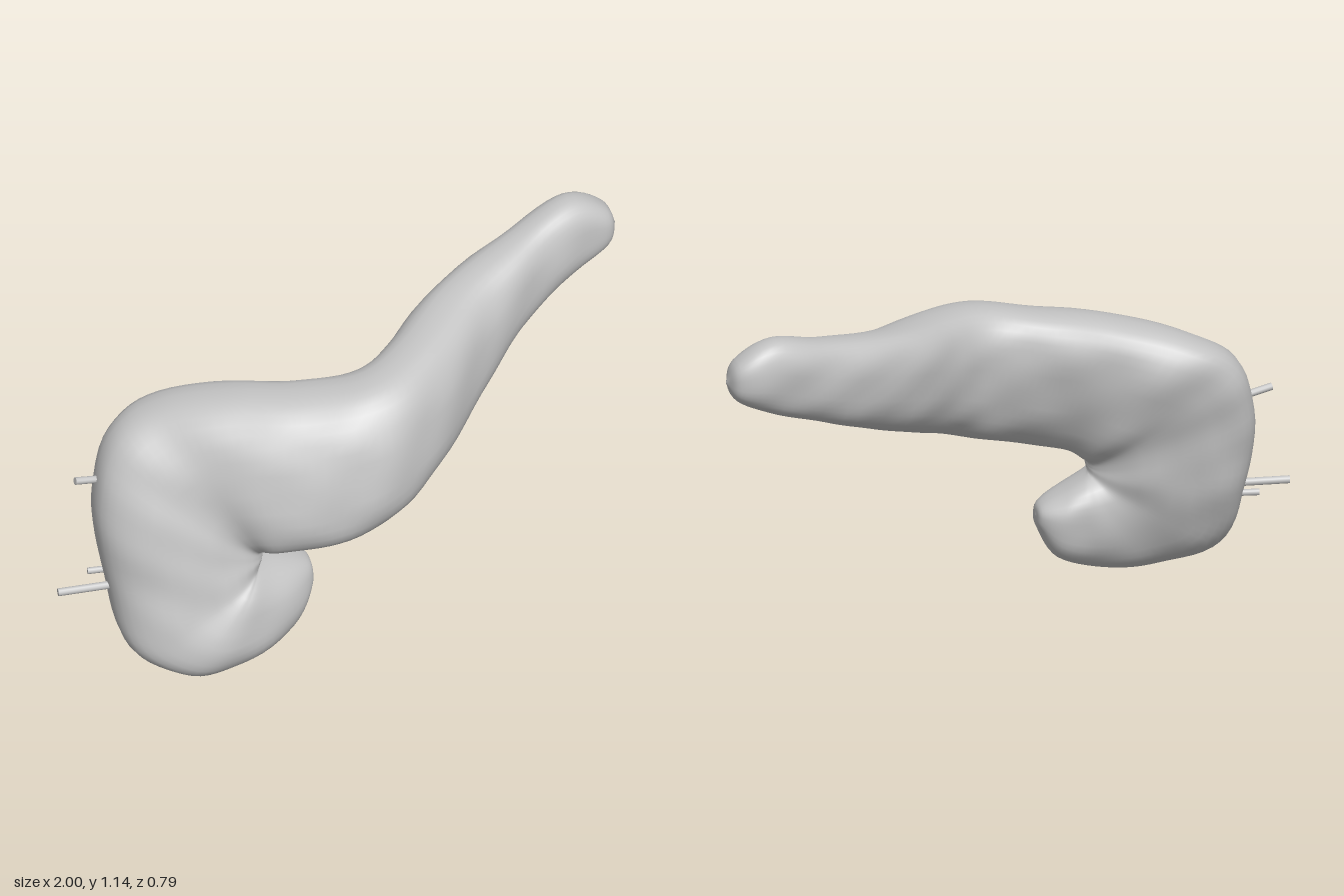
import * as THREE from 'three';

// Each rib runs from the inner edge to the outer edge of the curled organ:
// [inner x, y, z,  outer x, y, z,  half thickness]
const RIBS = [
  [-0.17, 0.24, 0.13, -0.17, 0.24, 0.13, 0], // hook tip
  [-0.185, 0.28, 0.125, -0.18, 0.19, 0.14, 0.06],
  [-0.27, 0.325, 0.13, -0.25, 0.085, 0.17, 0.125],
  [-0.335, 0.355, 0.145, -0.43, 0.017, 0.21, 0.165],
  [-0.35, 0.365, 0.15, -0.62, 0.01, 0.21, 0.165], // head
  [-0.35, 0.37, 0.155, -0.79, 0.09, 0.13, 0.16],
  [-0.35, 0.38, 0.16, -0.838, 0.3, 0.045, 0.165],
  [-0.35, 0.385, 0.16, -0.858, 0.55, -0.005, 0.16],
  [-0.35, 0.395, 0.165, -0.79, 0.765, -0.055, 0.155],
  [-0.34, 0.405, 0.18, -0.62, 0.87, -0.055, 0.165],
  [-0.3, 0.425, 0.23, -0.4, 0.922, 0.04, 0.165],
  [-0.17, 0.445, 0.265, -0.19, 0.937, 0.13, 0.165], // body
  [0.01, 0.49, 0.25, 0.01, 0.965, 0.17, 0.16],
  [0.18, 0.565, 0.14, 0.18, 0.99, 0.08, 0.147],
  [0.4, 0.675, -0.06, 0.4, 1.035, -0.115, 0.125],
  [0.65, 0.8, -0.22, 0.65, 1.09, -0.25, 0.1], // tail
  [0.85, 0.885, -0.295, 0.84, 1.14, -0.32, 0.083],
  [0.965, 0.945, -0.315, 0.965, 1.085, -0.325, 0.06],
  [1, 1.01, -0.32, 1, 1.01, -0.32, 0],
];

const spline = (pick) =>
  new THREE.CatmullRomCurve3(RIBS.map((r) => new THREE.Vector3(...pick(r))), false, 'catmullrom', 0.5);

// The thickness axis turns with the bends seen from above
const turnAt = (x) => 0.7 * Math.exp(-(((x - 0.35) / 0.25) ** 2)) - 0.3 * Math.exp(-(((x + 0.4) / 0.2) ** 2));

// Skin the ribs with rounded rings
function organGeometry() {
  const inner = spline((r) => r.slice(0, 3));
  const outer = spline((r) => r.slice(3, 6));
  const depth = spline((r) => [r[6], 0, 0]);
  const rings = (RIBS.length - 1) * 6;
  const sides = 36;
  const round = (v) => Math.sign(v) * Math.abs(v) ** 0.8;
  const position = [];
  const index = [];
  for (let i = 0; i <= rings; i++) {
    const t = i / rings;
    const a = inner.getPoint(t);
    const b = outer.getPoint(t);
    const centre = a.clone().add(b).multiplyScalar(0.5);
    const across = b.clone().sub(a).multiplyScalar(0.5);
    const turn = turnAt(centre.x);
    const thick = new THREE.Vector3(Math.sin(turn), 0, Math.cos(turn)).multiplyScalar(depth.getPoint(t).x);
    for (let j = 0; j < sides; j++) {
      const angle = (j / sides) * Math.PI * 2;
      const p = centre.clone()
        .addScaledVector(across, round(Math.cos(angle)))
        .addScaledVector(thick, round(Math.sin(angle)));
      // gentle lumps on the broad faces
      p.z += 0.004 * Math.sin(p.x * 23 + p.y * 9) * Math.sin(p.y * 27 - p.x * 7);
      position.push(p.x, p.y, p.z);
      if (i === rings) continue;
      const k = (j + 1) % sides;
      const r0 = i * sides;
      const r1 = r0 + sides;
      index.push(r0 + j, r0 + k, r1 + j, r0 + k, r1 + k, r1 + j);
    }
  }
  const geometry = new THREE.BufferGeometry();
  geometry.setAttribute('position', new THREE.Float32BufferAttribute(position, 3));
  geometry.setIndex(index);
  geometry.computeVertexNormals();
  return geometry;
}

// Thin duct between two points
function duct(name, from, to, radius, material) {
  const a = new THREE.Vector3(...from);
  const b = new THREE.Vector3(...to);
  const mesh = new THREE.Mesh(new THREE.CylinderGeometry(radius, radius, a.distanceTo(b), 12), material);
  mesh.position.copy(a).add(b).multiplyScalar(0.5);
  mesh.quaternion.setFromUnitVectors(new THREE.Vector3(0, 1, 0), b.sub(a).normalize());
  mesh.name = name;
  return mesh;
}

export function createModel() {
  const group = new THREE.Group();
  group.name = 'organ';
  const grey = new THREE.MeshStandardMaterial({ color: 0xc4c4c4 });
  grey.name = 'grey';

  const body = new THREE.Mesh(organGeometry(), grey);
  body.name = 'organBody';
  group.add(body);

  // Ducts leaving the head
  group.add(
    duct('mainDuct', [-1, 0.283, 0.067], [-0.78, 0.287, 0.09], 0.013, grey),
    duct('shortDuct', [-0.875, 0.285, -0.01], [-0.78, 0.287, 0.005], 0.011, grey),
    duct('upperDuct', [-0.915, 0.645, -0.015], [-0.78, 0.62, -0.025], 0.012, grey),
  );
  return group;
}
